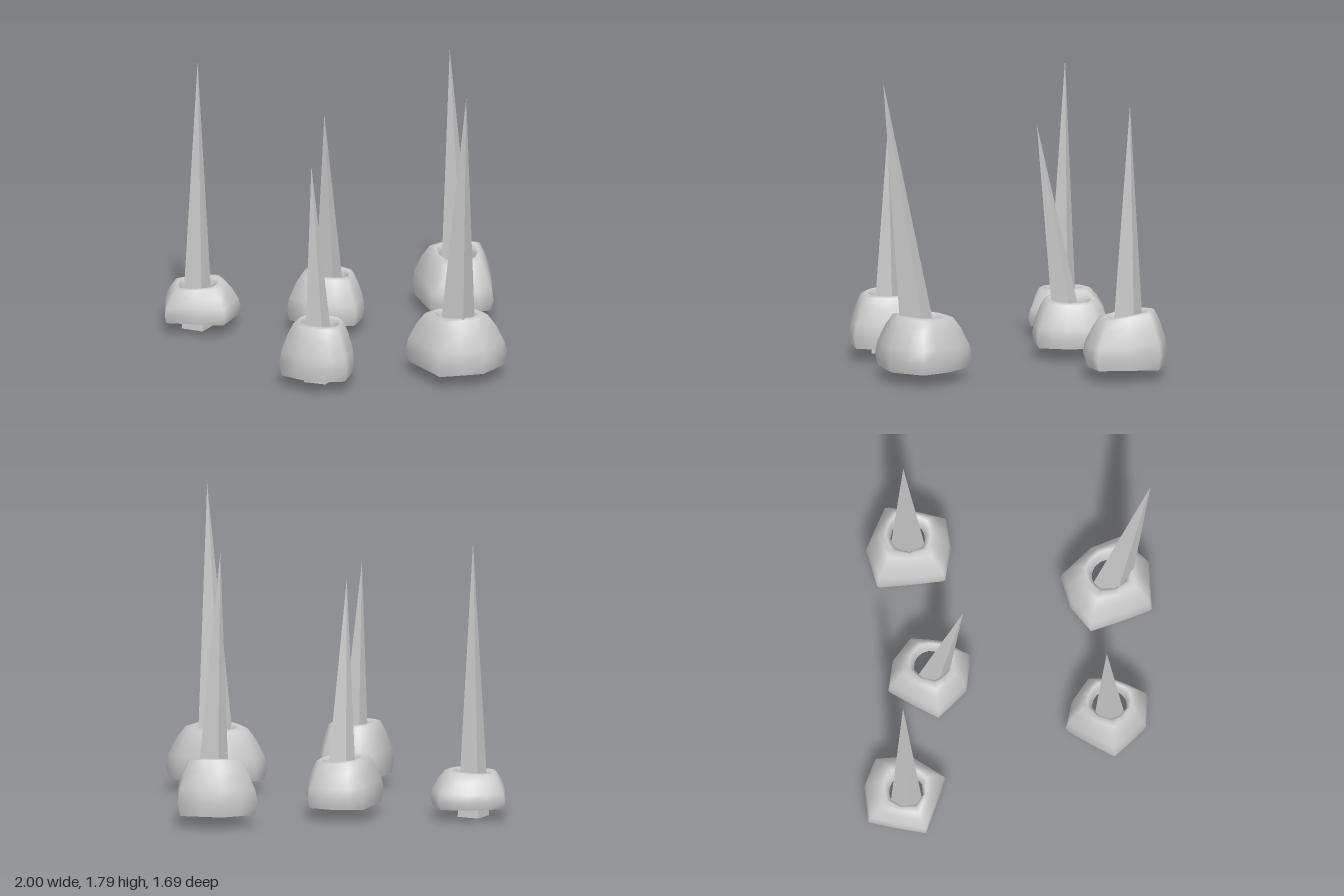
import * as THREE from 'three';

const stone = new THREE.MeshStandardMaterial({ color: 0xcccccc, side: THREE.DoubleSide });
const spikeMat = new THREE.MeshStandardMaterial({ color: 0xcccccc, flatShading: true });

const SKIRT_Y = 0.08;
const HOLE_RADIUS = 0.102;
const SPIKE_TURN = 0.15;

// mound section from skirt to inner lip: [0 = hole edge .. 1 = outline, height fraction]
const PROFILE = [[0.9, 0], [1, 0.22], [0.92, 0.45], [0.67, 0.76], [0.42, 0.97], [0.2, 1], [0.04, 0.92], [0, 0.72]];

// base/tip: spike ends; r: half-diagonal of its base; rim: height of the mound;
// slope: tilt of the rim along x and z; outline: main x, z corners on the ground
const SPIKES = [
  { name: 'backRight', base: [-0.785, 0.01, -0.58], tip: [-0.78, 1.65, -0.6], r: 0.097, rim: 0.285, slope: [0.06, 0],
    outline: [[-0.94, -0.8], [-0.72, -0.83], [-0.55, -0.77], [-0.53, -0.56], [-0.66, -0.35], [-1, -0.46]] },
  { name: 'backMiddle', base: [-0.015, 0.07, -0.45], tip: [-0.08, 1.39, -0.26], r: 0.1, rim: 0.355, slope: [-0.1, 0],
    outline: [[-0.12, -0.7], [0.06, -0.68], [0.2, -0.58], [0.18, -0.38], [0.1, -0.22], [-0.11, -0.24], [-0.28, -0.4]] },
  { name: 'frontMiddle', base: [-0.25, 0.03, 0.605], tip: [-0.3, 1.35, 0.59], r: 0.1, rim: 0.395, slope: [-0.06, 0],
    outline: [[-0.34, 0.35], [-0.18, 0.38], [-0.04, 0.47], [-0.05, 0.63], [-0.13, 0.83], [-0.32, 0.82], [-0.5, 0.64]] },
  { name: 'frontLeft', base: [0.565, 0.065, 0.585], tip: [0.585, 1.8, 0.83], r: 0.125, rim: 0.395, slope: [0, 0.05],
    outline: [[0.42, 0.36], [0.61, 0.3], [0.78, 0.47], [0.86, 0.65], [0.7, 0.82], [0.42, 0.84], [0.28, 0.48]] },
  { name: 'backLeft', base: [0.775, 0.065, -0.605], tip: [0.73, 1.63, -0.63], r: 0.11, rim: 0.395, slope: [0.04, -0.16],
    outline: [[0.53, -0.78], [0.75, -0.85], [1, -0.75], [0.95, -0.38], [0.78, -0.35], [0.58, -0.38]] },
];

// rough open shell lofted from the ground outline up and over into the hole
function makeMound({ base: [cx, , cz], rim, slope, outline }) {
  // outline corners plus the middle of every edge
  const loop = outline.flatMap(([x, z], i) => {
    const [nx, nz] = outline[(i + 1) % outline.length];
    return [[x, z], [(x + nx) / 2, (z + nz) / 2]];
  });
  const n = loop.length, pos = [], index = [];
  PROFILE.forEach(([t, h], i) => {
    loop.forEach(([ox, oz], j) => {
      const angle = Math.atan2(oz - cz, ox - cx);
      const x = THREE.MathUtils.lerp(cx + HOLE_RADIUS * Math.cos(angle), ox, t);
      const z = THREE.MathUtils.lerp(cz + HOLE_RADIUS * Math.sin(angle), oz, t);
      const top = rim + slope[0] * (x - cx) + slope[1] * (z - cz);
      pos.push(x, THREE.MathUtils.lerp(SKIRT_Y, top, h), z);
      if (i === 0) return;
      const k = (j + 1) % n, a = (i - 1) * n, b = i * n;
      index.push(a + j, b + j, a + k, a + k, b + j, b + k);
    });
  });
  const geo = new THREE.BufferGeometry();
  geo.setAttribute('position', new THREE.Float32BufferAttribute(pos, 3));
  geo.setIndex(index);
  geo.computeVertexNormals();
  return new THREE.Mesh(geo, stone);
}

// four-sided pyramid leaning from its base point to its tip
function makeSpike({ base, tip, r }) {
  const from = new THREE.Vector3(...base);
  const axis = new THREE.Vector3(...tip).sub(from);
  const h = axis.length();
  const geo = new THREE.ConeGeometry(r, h, 4).rotateY(SPIKE_TURN).translate(0, h / 2, 0);
  const mesh = new THREE.Mesh(geo, spikeMat);
  mesh.quaternion.setFromUnitVectors(new THREE.Vector3(0, 1, 0), axis.normalize());
  mesh.position.copy(from);
  return mesh;
}

export function createModel() {
  const model = new THREE.Group();
  model.name = 'groundSpikes';
  for (const s of SPIKES) {
    const group = new THREE.Group();
    group.name = s.name + 'Spike';
    const mound = makeMound(s), spike = makeSpike(s);
    mound.name = 'mound';
    spike.name = 'spike';
    group.add(mound, spike);
    model.add(group);
  }
  return model;
}
